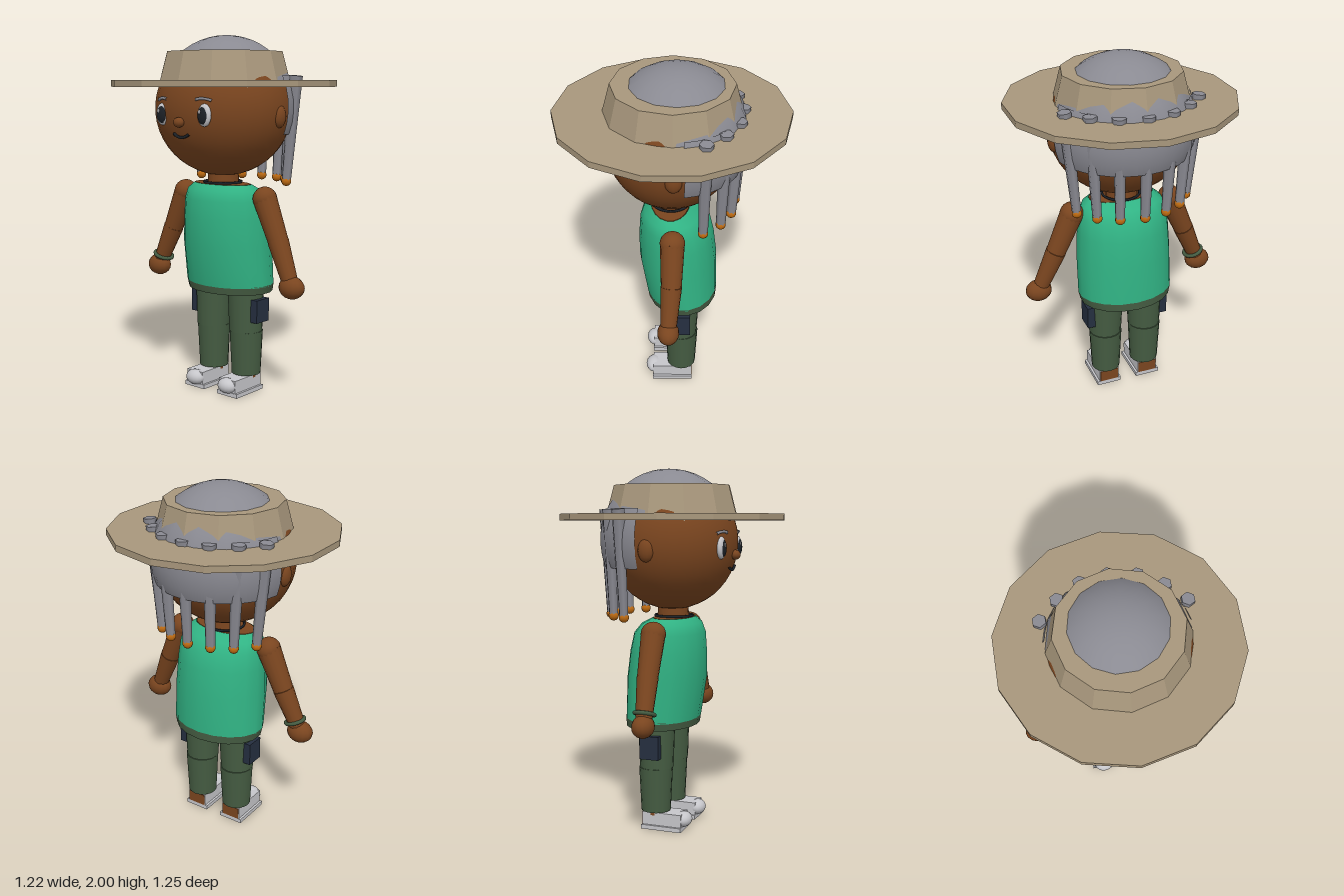
import * as THREE from 'three';

const paint = (name, color, extra = {}) => {
  const m = new THREE.MeshStandardMaterial({ color, ...extra });
  m.name = name;
  return m;
};

export function createModel() {
  const root = new THREE.Group();
  const skin = paint('skin brown', 0x7a451f);
  const hair = paint('hair grey', 0x8a8a92, { side: THREE.DoubleSide });
  const straw = paint('hat straw', 0xa8977c, { flatShading: true });
  const shirt = paint('shirt green', 0x31b384, { side: THREE.DoubleSide });
  const olive = paint('trouser olive', 0x455c42, { side: THREE.DoubleSide });
  const white = paint('shoe white', 0xc6c6ca);
  const navy = paint('pocket navy', 0x252f40);
  const dark = paint('dark', 0x1c2127);
  const orange = paint('bead orange', 0xc06c12);

  const add = (name, geo, mat, x = 0, y = 0, z = 0, parent = root) => {
    const m = new THREE.Mesh(geo, mat);
    m.name = name;
    m.position.set(x, y, z);
    parent.add(m);
    return m;
  };
  const ball = (name, mat, p, r, seg = 20) => {
    const m = add(name, new THREE.SphereGeometry(1, seg, Math.ceil(seg * 0.7)), mat, ...p);
    m.scale.set(...r);
    return m;
  };
  const box = (name, mat, p, s) => add(name, new THREE.BoxGeometry(...s), mat, ...p);
  // tapered limb between two points
  const limb = (name, mat, a, b, ra, rb, seg = 14) => {
    const A = new THREE.Vector3(...a), B = new THREE.Vector3(...b);
    const d = A.clone().sub(B);
    const m = add(name, new THREE.CylinderGeometry(ra, rb, d.length(), seg), mat);
    m.position.copy(A).add(B).multiplyScalar(0.5);
    m.quaternion.setFromUnitVectors(new THREE.Vector3(0, 1, 0), d.normalize());
    return m;
  };
  // skin through oval rings [y, half width, front z, back z], bottom to top
  const loft = (name, mat, rings, seg = 18) => {
    const pos = [], idx = [];
    rings.forEach(([y, rx, zf, zb], i) => {
      for (let j = 0; j < seg; j++) {
        const a = (j / seg) * Math.PI * 2, k = (j + 1) % seg;
        pos.push(Math.sin(a) * rx, y, (zf + zb) / 2 + Math.cos(a) * (zf - zb) / 2);
        if (i < rings.length - 1) {
          const p = i * seg + j, q = i * seg + k;
          idx.push(p, q, p + seg, q, q + seg, p + seg);
        }
      }
    });
    const g = new THREE.BufferGeometry();
    g.setAttribute('position', new THREE.Float32BufferAttribute(pos, 3));
    g.setIndex(idx);
    g.computeVertexNormals();
    return add(name, g, mat);
  };

  // hat: brim and a crown whose lower rim slopes down to the back
  add('hatBrim', new THREE.CylinderGeometry(0.625, 0.625, 0.035, 14), straw, 0, 1.737, 0);
  const crown = new THREE.CylinderGeometry(0.323, 0.368, 0.16, 12, 2);
  const cp = crown.attributes.position;
  for (let i = 0; i < cp.count; i++) {
    const y = cp.getY(i), z = cp.getZ(i);
    if (y < -0.01) cp.setY(i, Math.min(1.67 + 0.23 * z, 1.75) - 1.83);
    else if (y < 0.01) {
      cp.setXYZ(i, cp.getX(i) * 1.055, -0.075, z * 1.055);
    }
  }
  add('hatCrown', crown, straw, 0, 1.83, -0.005);

  // hair: dome and a band around the back of the head
  add('hairDome', new THREE.SphereGeometry(0.39, 14, 10, 0, Math.PI * 2, 0, 1.28), hair, 0, 1.61, -0.025);
  add('hairBack', new THREE.SphereGeometry(0.402, 16, 5, Math.PI + 0.16, Math.PI - 0.32, 1.13, 0.81),
    hair, 0, 1.61, -0.003);

  // braids with beads
  const braids = [[0, -0.37, 0, -0.345], [0.145, -0.345, 0.13, -0.32],
    [0.27, -0.27, 0.235, -0.26], [0.37, -0.17, 0.315, -0.165]];
  braids.forEach(([tx, tz, bx, bz], i) => {
    for (const s of i ? [1, -1] : [1]) {
      limb('braid', hair, [s * tx, 1.78, tz], [s * bx, 1.2, bz], 0.037, 0.025, 6);
      ball('bead', orange, [s * bx, 1.205, bz], [0.028, 0.028, 0.028], 10);
    }
  });

  // head and face
  ball('head', skin, [0, 1.6, 0], [0.396, 0.37, 0.358], 32);
  ball('nose', skin, [0, 1.535, 0.36], [0.032, 0.027, 0.027], 14);
  const smile = new THREE.QuadraticBezierCurve3(
    new THREE.Vector3(-0.055, 1.474, 0.338), new THREE.Vector3(0, 1.435, 0.345),
    new THREE.Vector3(0.055, 1.474, 0.338));
  add('mouth', new THREE.TubeGeometry(smile, 10, 0.008, 6), dark);
  for (const s of [1, -1]) {
    ball('ear', skin, [s * 0.38, 1.565, -0.01], [0.033, 0.062, 0.045], 14);
    ball('eyeWhite', white, [s * 0.15, 1.575, 0.325], [0.044, 0.06, 0.022]);
    ball('pupil', dark, [s * 0.148, 1.573, 0.336], [0.033, 0.046, 0.016]);
    ball('eyeGlint', white, [s * 0.148 - 0.012, 1.592, 0.35], [0.009, 0.011, 0.004], 10);
    const brow = new THREE.QuadraticBezierCurve3(
      new THREE.Vector3(s * 0.105, 1.655, 0.342), new THREE.Vector3(s * 0.145, 1.668, 0.335),
      new THREE.Vector3(s * 0.19, 1.65, 0.312));
    add('eyebrow', new THREE.TubeGeometry(brow, 8, 0.008, 6), hair);
  }

  // neck, necklace and torso
  add('neck', new THREE.CylinderGeometry(0.083, 0.09, 0.12, 16), skin, 0, 1.22, 0);
  add('necklace', new THREE.TorusGeometry(0.105, 0.007, 6, 24).rotateX(Math.PI / 2), dark, 0, 1.195, 0.005);
  const disc = (name, y, rx, z, rz) =>
    add(name, new THREE.CylinderGeometry(1, 1, 0.02, 18), skin, 0, y, z).scale.set(rx, 1, rz);
  disc('upperChest', 1.178, 0.185, 0.008, 0.105);
  disc('hips', 0.61, 0.258, -0.06, 0.193);
  loft('shirt', shirt, [[0.62, 0.274, 0.147, -0.26], [0.85, 0.272, 0.184, -0.254],
    [1.0, 0.264, 0.182, -0.235], [1.1, 0.254, 0.175, -0.212], [1.155, 0.23, 0.155, -0.165],
    [1.187, 0.188, 0.115, -0.1]]);
  loft('shirtHem', olive, [[0.58, 0.265, 0.141, -0.261], [0.626, 0.275, 0.147, -0.261]]);

  // arms, legs and shoes
  for (const s of [1, -1]) {
    const shoulder = [s * 0.292, 1.12, -0.005], elbow = [s * 0.388, 0.9, 0], wrist = [s * 0.48, 0.69, 0.014];
    ball('shoulder', skin, shoulder, [0.066, 0.066, 0.068], 16);
    limb('upperArm', skin, shoulder, elbow, 0.066, 0.056);
    limb('forearm', skin, elbow, wrist, 0.058, 0.044);
    ball('hand', skin, [s * 0.493, 0.661, 0.016], [0.075, 0.062, 0.06], 14);

    limb('upperTrouserLeg', olive, [s * 0.12, 0.61, -0.055], [s * 0.122, 0.35, -0.053], 0.104, 0.094, 16);
    limb('lowerTrouserLeg', olive, [s * 0.122, 0.35, -0.058], [s * 0.122, 0.1, -0.058], 0.095, 0.083, 16);
    box('pocket', navy, [s * 0.222, 0.48, -0.053], [0.046, 0.13, 0.108]);

    limb('ankle', skin, [s * 0.122, 0.14, -0.058], [s * 0.122, 0.08, -0.058], 0.062, 0.062, 12);
    box('shoe', white, [s * 0.122, 0.058, -0.004], [0.118, 0.076, 0.228]);
    box('sole', white, [s * 0.122, 0.012, -0.004], [0.145, 0.024, 0.234]);
    box('heel', skin, [s * 0.122, 0.058, -0.118], [0.11, 0.068, 0.008]);
    ball('toeCap', white, [s * 0.12, 0.06, 0.107], [0.06, 0.043, 0.047], 16);
  }

  // bracelet on the right wrist
  const bracelet = add('bracelet', new THREE.TorusGeometry(0.053, 0.011, 8, 18).rotateX(Math.PI / 2),
    olive, -0.462, 0.722, 0.012);
  bracelet.rotation.z = -0.35;

  return root;
}
